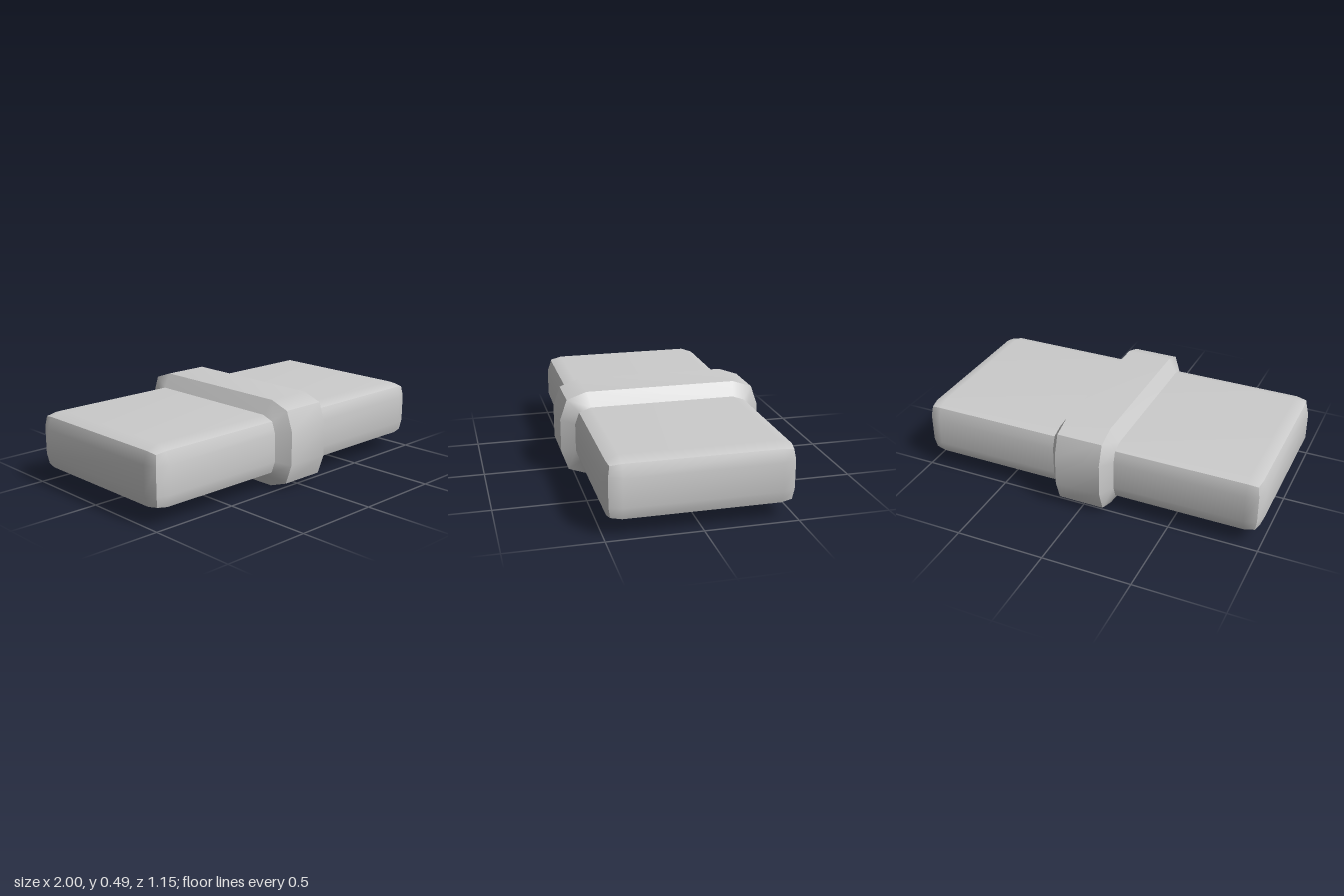
import * as THREE from 'three';

const CENTER_Y = 0.243;
const BODY = { hx: 1, hy: 0.167, hz: 0.5, r: 0.09 };
const BAND = { hy: 0.243, hz: 0.575, r: 0.15 };
const EDGE = 0.26, CORNER = 0.36; // inset of rounded edges and corners, as a share of the radius

const material = new THREE.MeshStandardMaterial({ color: 0xcccccc });

// Box with low-poly rounded edges; each of its six sides is smoothed on its own
function softBox({ hx, hy, hz, r }) {
  const geometry = new THREE.BoxGeometry(2, 2, 2, 3, 3, 3);
  const position = geometry.attributes.position;
  const half = [hx, hy, hz];
  for (let i = 0; i < position.count; i++) {
    const p = [position.getX(i), position.getY(i), position.getZ(i)];
    const outer = p.filter((v) => Math.abs(v) > 0.99).length;
    const inset = [0, 0, EDGE, CORNER][outer] * r;
    const q = p.map((v, k) => Math.sign(v) * (half[k] - (Math.abs(v) > 0.99 ? inset : r)));
    position.setXYZ(i, ...q);
  }
  geometry.computeVertexNormals();
  return geometry;
}

// Twelve-point [y, z] outline, three points for each corner
function outline({ hy, hz, r }) {
  const e = EDGE * r;
  const half = [
    [hy, hz - r], [hy - e, hz - e], [hy - r, hz],
    [r - hy, hz], [e - hy, hz - e], [-hy, hz - r],
  ];
  return [...half, ...half.map(([y, z]) => [-y, -z])];
}

// Smooth strip between two outlines at x0 and x1, over some steps from a start point
function strip(from, x0, to, x1, start = 0, steps = 12) {
  const closed = steps === 12;
  const count = closed ? 12 : steps + 1;
  const points = [], index = [];
  for (let i = 0; i < count; i++) {
    const k = (start + i) % 12;
    points.push(x0, ...from[k], x1, ...to[k]);
  }
  for (let i = 0; i < steps; i++) {
    const a = 2 * i, b = 2 * ((i + 1) % count);
    index.push(a, b, a + 1, b, b + 1, a + 1);
  }
  const geometry = new THREE.BufferGeometry();
  geometry.setAttribute('position', new THREE.Float32BufferAttribute(points, 3));
  geometry.setIndex(index);
  geometry.computeVertexNormals();
  return geometry;
}

function addMesh(parent, name, geometry) {
  const mesh = new THREE.Mesh(geometry, material);
  mesh.name = name;
  parent.add(mesh);
}

export function createModel() {
  const model = new THREE.Group();
  model.name = 'bandedBlock';

  const parts = new THREE.Group();
  parts.name = 'parts';
  parts.position.y = CENTER_Y;
  model.add(parts);

  // Long flat block
  addMesh(parts, 'body', softBox(BODY));

  // Raised band round the middle
  const band = new THREE.Group();
  band.name = 'centerBand';
  parts.add(band);
  const rim = outline(BAND), foot = outline(BODY);
  ['Front', 'Bottom', 'Back', 'Top'].forEach((side, i) => {
    addMesh(band, 'rim' + side, strip(rim, -0.13, rim, 0.13, 1 + 3 * i, 3));
  });

  // Slopes from the rim down to the block
  addMesh(band, 'rightSlope', strip(foot, -0.18, rim, -0.13));
  addMesh(band, 'leftSlope', strip(rim, 0.13, foot, 0.18));

  return model;
}
